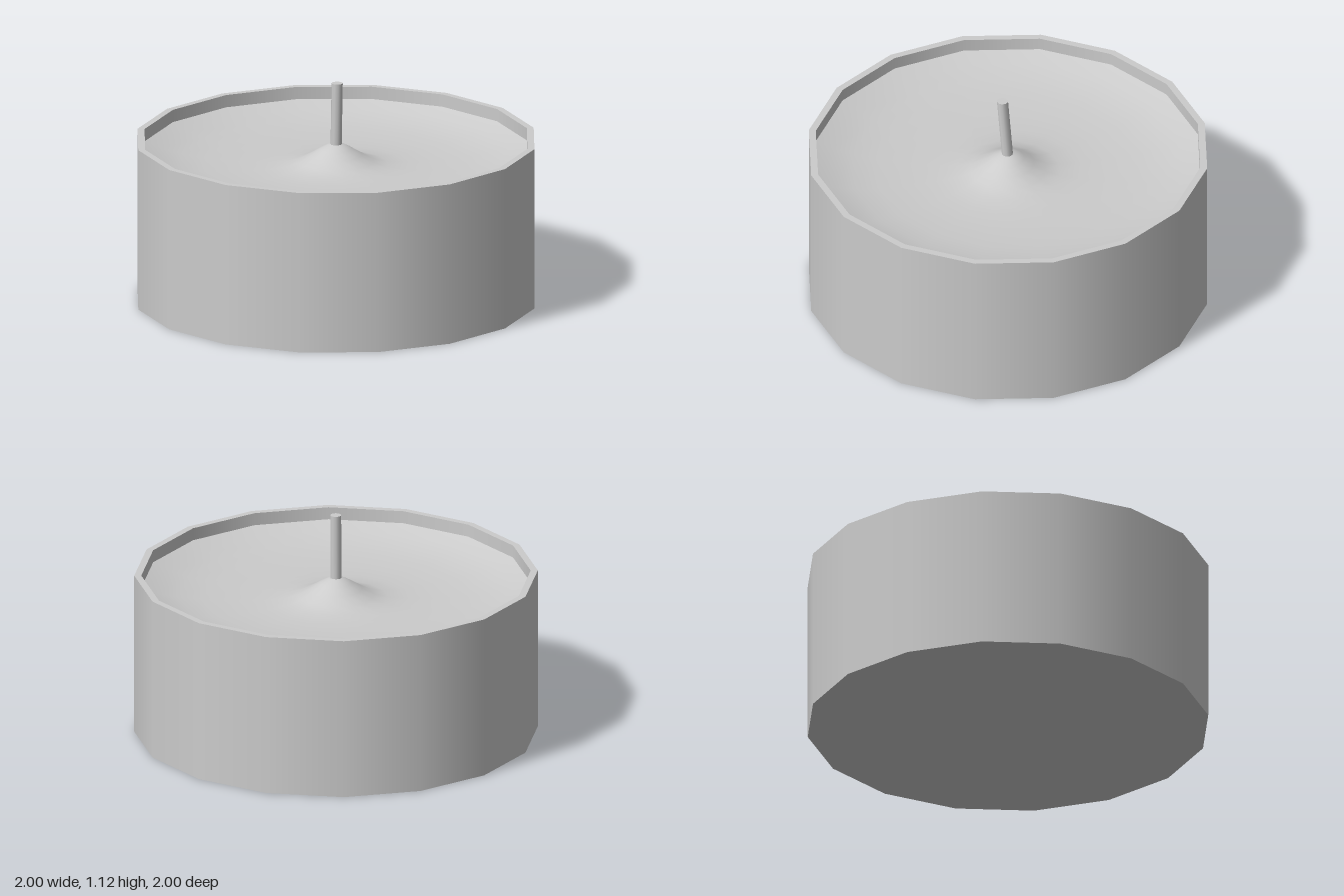
import * as THREE from 'three';

const SIDES = 16;
const material = new THREE.MeshStandardMaterial({ color: 0xcccccc });

// Revolve a profile of [radius, height] points; each strip keeps its own smooth normals
function revolve(name, profile) {
  const points = profile.map(([r, y]) => new THREE.Vector2(r, y));
  const mesh = new THREE.Mesh(new THREE.LatheGeometry(points, SIDES), material);
  mesh.name = name;
  return mesh;
}

export function createModel() {
  const model = new THREE.Group();
  model.name = 'tealightCandle';

  // Cup: separate strips keep the rim and base edges sharp
  const cup = new THREE.Group();
  cup.name = 'cup';
  cup.add(
    revolve('cupBase', [[0, 0], [1, 0]]),
    revolve('cupWall', [[1, 0], [1, 0.82]]),
    revolve('cupRim', [[1, 0.82], [0.965, 0.82]]),
    revolve('cupInnerWall', [[0.965, 0.82], [0.965, 0.74]])
  );
  model.add(cup);

  // Wax: raised at the cup wall, dished, with a mound around the wick
  model.add(revolve('wax', [
    [0.965, 0.757], [0.88, 0.727], [0.78, 0.703], [0.66, 0.688], [0.5, 0.68],
    [0.36, 0.681], [0.26, 0.69], [0.19, 0.708], [0.13, 0.74],
    [0.08, 0.772], [0.04, 0.793], [0, 0.8],
  ]));

  // Wick: a thin cylinder sheared towards the front, so its top stays level
  const bottom = 0.74, top = 1.115;
  const geometry = new THREE.CylinderGeometry(0.028, 0.028, top - bottom, 10);
  geometry.translate(0, (top + bottom) / 2, 0);
  const p = geometry.attributes.position;
  for (let i = 0; i < p.count; i++) {
    p.setZ(i, p.getZ(i) + 0.028 - (top - p.getY(i)) * 0.078);
  }
  const wick = new THREE.Mesh(geometry, material);
  wick.name = 'wick';
  model.add(wick);

  return model;
}
